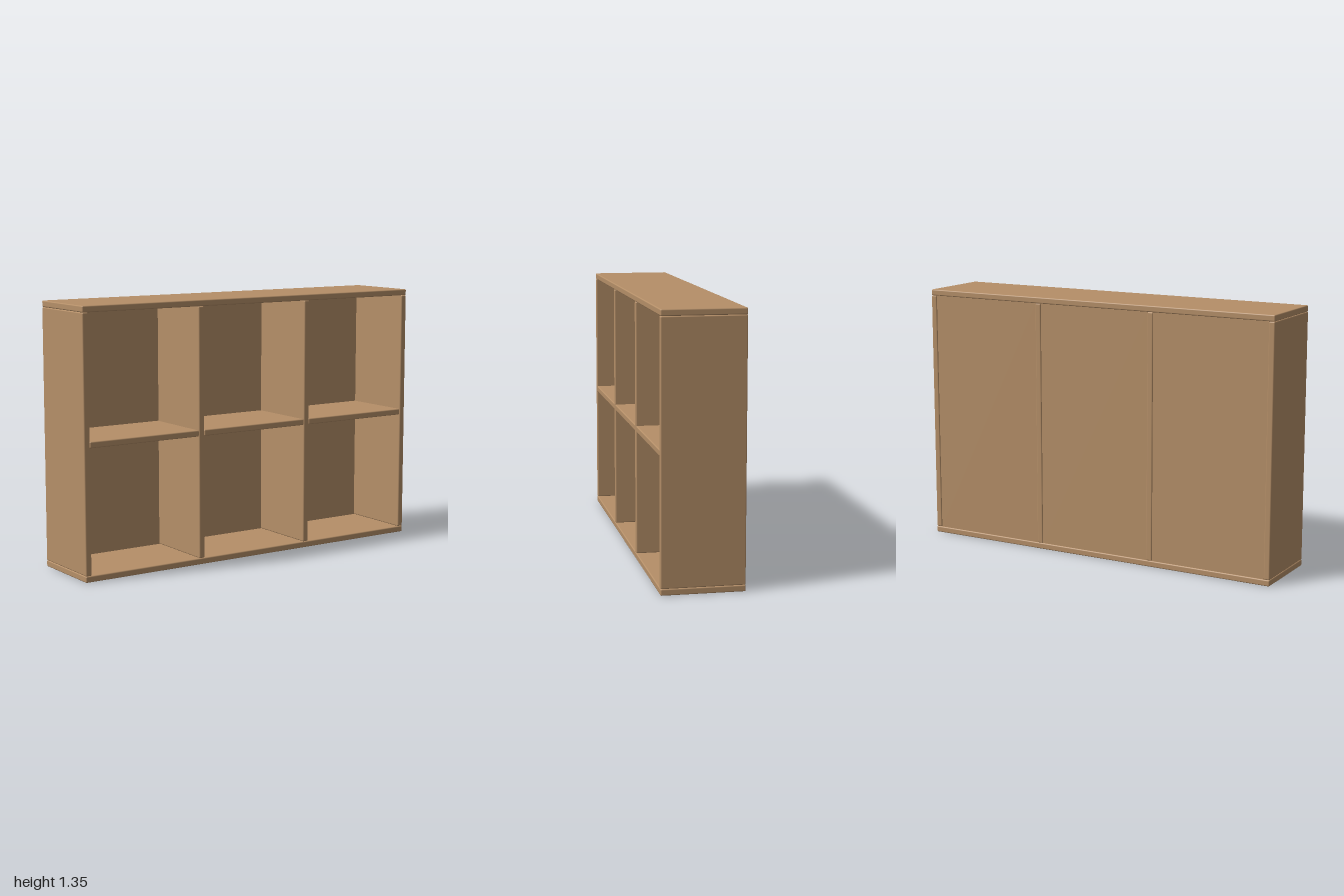
import * as THREE from 'three';
import { RoundedBoxGeometry } from 'three/addons/geometries/RoundedBoxGeometry.js';

const W = 2, H = 1.345, D = 0.41; // overall size
const T = 0.032;                  // board thickness
const COLUMNS = 3;
const BACK = 0.016;               // back panel thickness

export function createModel() {
  const group = new THREE.Group();
  group.name = 'bookcase';
  const wood = new THREE.MeshStandardMaterial({ color: 0xb58f68 });

  // Board with softly rounded edges
  const board = (name, w, h, d, x, y, z = 0) => {
    const mesh = new THREE.Mesh(new RoundedBoxGeometry(w, h, d, 2, 0.006), wood);
    mesh.name = name;
    mesh.position.set(x, y, z);
    group.add(mesh);
  };

  // Top and bottom span the full width
  board('bottomBoard', W, T, D, 0, T / 2);
  board('topBoard', W, T, D, 0, H - T / 2);

  // Sides and dividers stand between them
  const innerH = H - 2 * T;
  const pitch = (W - T) / COLUMNS;
  for (let i = 0; i <= COLUMNS; i++) {
    const name = i === 0 ? 'rightSide' : i === COLUMNS ? 'leftSide' : `divider${i}`;
    board(name, T, innerH, D, -W / 2 + T / 2 + i * pitch, H / 2);
  }

  // One shelf and one back panel per column
  const backZ = -D / 2 + 0.005 + BACK / 2;
  const shelfBack = backZ + BACK / 2;
  const shelfD = D / 2 - shelfBack;
  for (let i = 0; i < COLUMNS; i++) {
    const x = -W / 2 + T / 2 + (i + 0.5) * pitch;
    board(`shelf${i + 1}`, pitch - T, T, shelfD, x, H / 2 + 0.003, shelfBack + shelfD / 2);

    const panel = new THREE.Mesh(new THREE.BoxGeometry(pitch - T, innerH, BACK), wood);
    panel.name = `backPanel${i + 1}`;
    panel.position.set(x, H / 2, backZ);
    group.add(panel);
  }
  return group;
}
